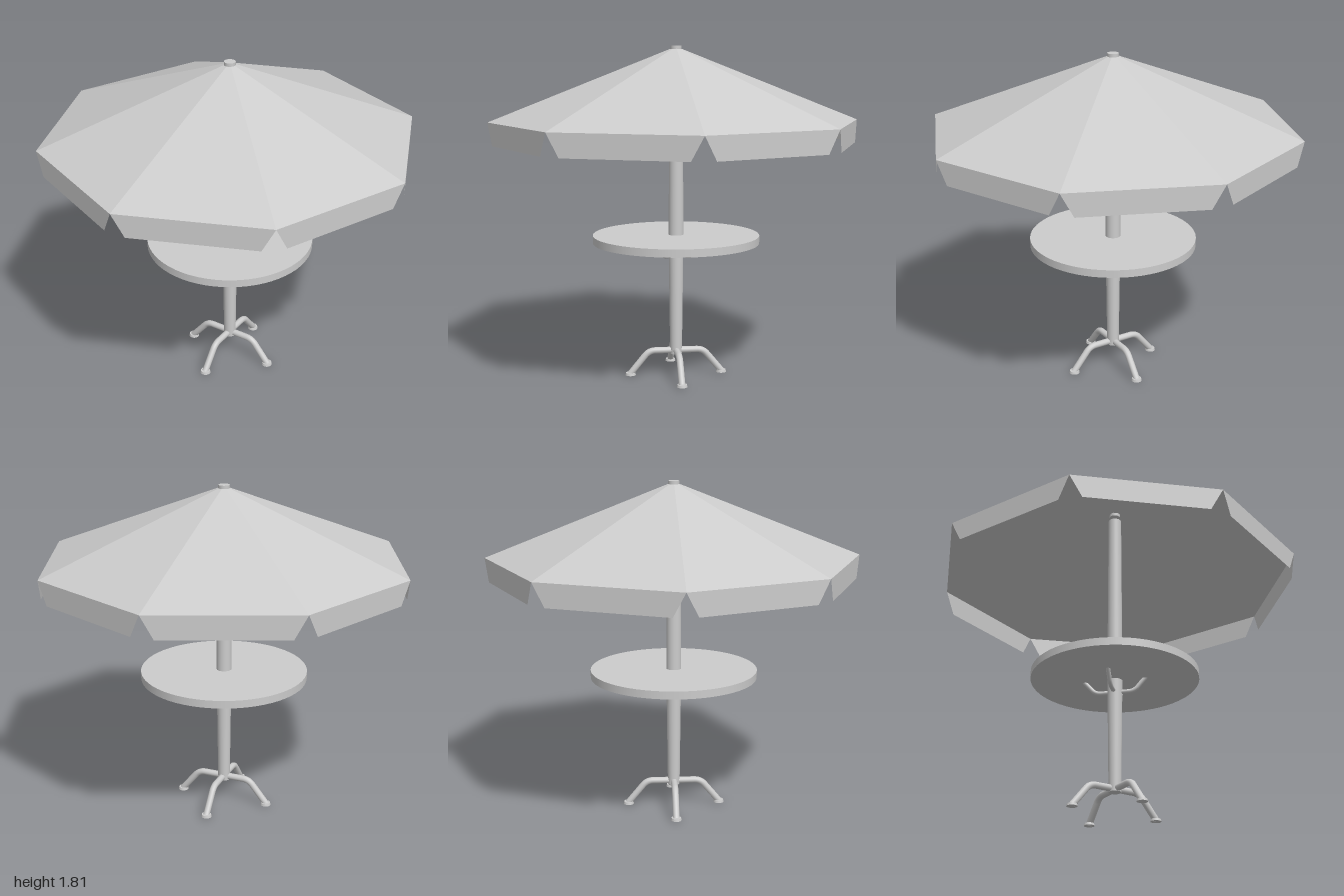
import * as THREE from 'three';

const grey = new THREE.MeshStandardMaterial({ color: 0xcccccc });
const cloth = new THREE.MeshStandardMaterial({ color: 0xcccccc, flatShading: true, side: THREE.DoubleSide });

function add(parent, name, geometry, material = grey) {
  const mesh = new THREE.Mesh(geometry, material);
  mesh.name = name;
  parent.add(mesh);
  return mesh;
}

// Pipe in the xy plane through the given points, with rounded corners
function bentPipe(points, bend, radius) {
  const p = points.map(([x, y]) => new THREE.Vector3(x, y, 0));
  const path = new THREE.CurvePath();
  let start = p[0];
  for (let i = 1; i < p.length - 1; i++) {
    const before = p[i].clone().add(p[i - 1].clone().sub(p[i]).setLength(bend));
    const after = p[i].clone().add(p[i + 1].clone().sub(p[i]).setLength(bend));
    path.add(new THREE.LineCurve3(start, before));
    path.add(new THREE.QuadraticBezierCurve3(before, p[i], after));
    start = after;
  }
  path.add(new THREE.LineCurve3(start, p[p.length - 1]));
  return new THREE.TubeGeometry(path, 32, radius, 12);
}

// Solid of revolution whose profile edges stay sharp
function disc(name, parent, rTop, rBottom, y0, y1, segments = 24) {
  const mesh = add(parent, name, new THREE.CylinderGeometry(rTop, rBottom, y1 - y0, segments));
  mesh.position.y = (y0 + y1) / 2;
  return mesh;
}

export function createModel() {
  const model = new THREE.Group();
  model.name = 'parasolTable';

  // Central pole, thickest around the table, with a cap on top
  disc('lowerPole', model, 0.041, 0.033, 0.115, 0.76);
  disc('upperPole', model, 0.036, 0.041, 0.76, 1.74);
  disc('topCap', model, 0.03, 0.03, 1.765, 1.8);

  // Round table top
  disc('tableTop', model, 0.453, 0.453, 0.74, 0.782, 64);

  // Eight-sided canopy
  const sides = 8, rimY = 1.4, peakY = 1.785;
  const canopy = add(model, 'canopy', new THREE.CylinderGeometry(0.025, 1, peakY - rimY, sides, 1, true), cloth);
  canopy.position.y = (rimY + peakY) / 2;

  // Hanging flap under each canopy edge, narrowing downwards
  const half = Math.sin(Math.PI / sides), apothem = Math.cos(Math.PI / sides);
  const flap = new THREE.Shape([[-half, 0], [-half + 0.065, -0.12], [half - 0.065, -0.12], [half, 0]]
    .map(([x, y]) => new THREE.Vector2(x, y)));
  const flapGeometry = new THREE.ShapeGeometry(flap).translate(0, rimY, apothem);
  for (let i = 0; i < sides; i++) {
    add(model, 'valanceFlap', flapGeometry, cloth).rotation.y = (i + 0.5) * Math.PI * 2 / sides;
  }

  // Four bent legs with round feet, and four braces between them
  const legGeometry = bentPipe([[0, 0.134], [0.15, 0.134], [0.255, 0.006]], 0.035, 0.018);
  const braceGeometry = bentPipe([[0.025, 0.672], [0.105, 0.672], [0.172, 0.75]], 0.03, 0.012);
  for (let i = 0; i < 4; i++) {
    const leg = new THREE.Group();
    leg.name = 'leg';
    leg.rotation.y = i * Math.PI / 2;
    add(leg, 'legPipe', legGeometry);
    disc('foot', leg, 0.026, 0.029, 0, 0.013, 20).position.x = 0.253;
    model.add(leg);
    add(model, 'tableBrace', braceGeometry).rotation.y = (i + 0.5) * Math.PI / 2;
  }
  return model;
}
